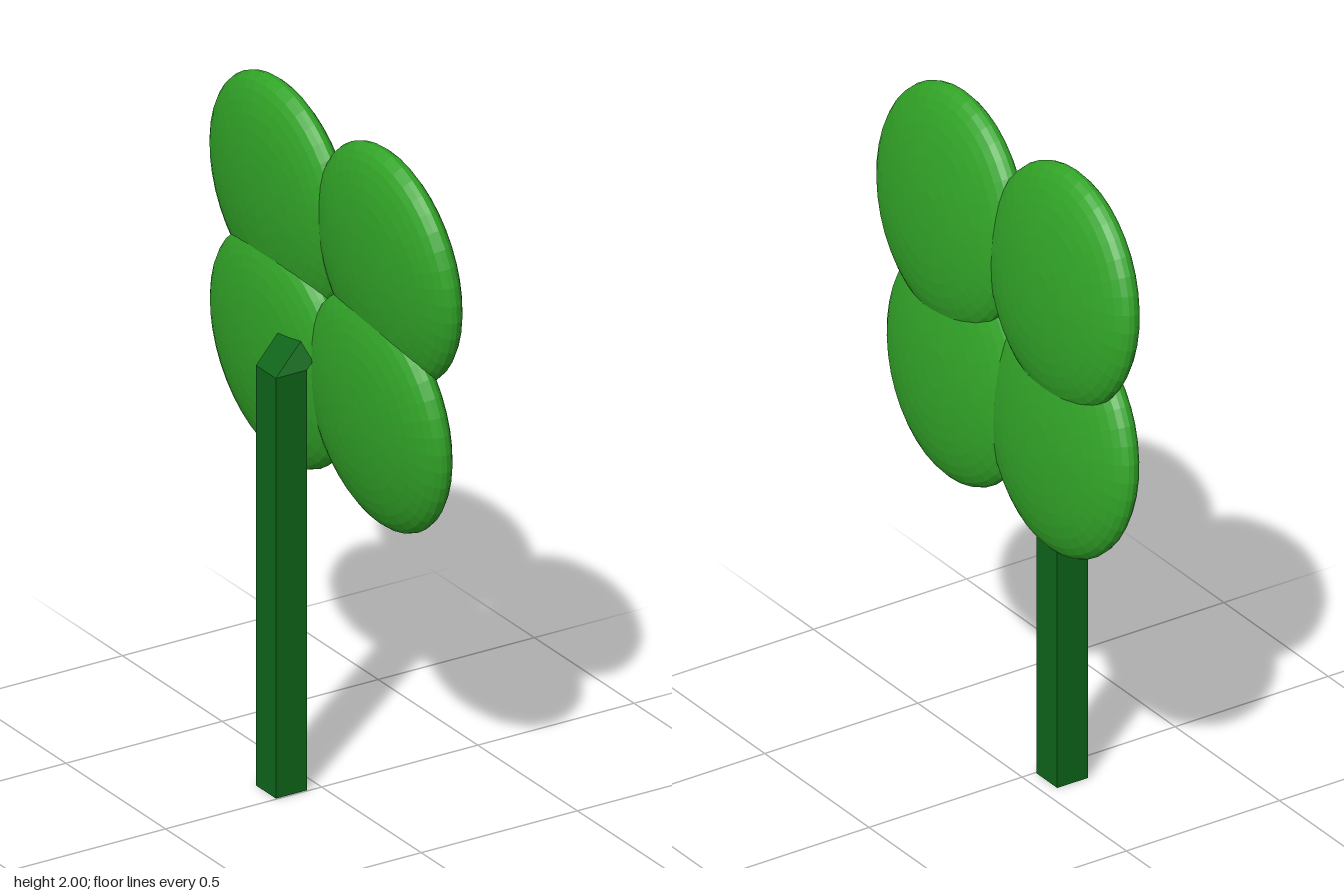
import * as THREE from 'three';

export function createModel() {
  const group = new THREE.Group();
  const leafMat = new THREE.MeshStandardMaterial({ color: 0x32a528, flatShading: true });
  const stemMat = new THREE.MeshStandardMaterial({ color: 0x0e6419, flatShading: true });

  // Leaves: flattened discs, poles along x, all leaning slightly
  const leafGeo = new THREE.SphereGeometry(1, 40, 20);
  leafGeo.rotateZ(-Math.PI / 2);
  leafGeo.scale(0.09, 0.347, 0.335);
  const leaves = [
    ['upperFrontLeaf', 1.655, 0.27],
    ['upperBackLeaf', 1.655, -0.27],
    ['lowerFrontLeaf', 1.192, 0.22],
    ['lowerBackLeaf', 1.192, -0.268],
  ];
  for (const [name, y, z] of leaves) {
    const leaf = new THREE.Mesh(leafGeo, leafMat);
    leaf.name = name;
    leaf.position.set(0.046, y, z);
    leaf.rotation.z = THREE.MathUtils.degToRad(4.5);
    group.add(leaf);
  }

  // Stem: square post
  const width = 0.1, height = 1.25;
  const stem = new THREE.Mesh(new THREE.BoxGeometry(width, height, width), stemMat);
  stem.name = 'stem';
  stem.position.set(-0.094, height / 2, -0.054);
  group.add(stem);

  // Branch: box on the stem top, sheared towards the leaves
  const reach = 0.12, rise = reach / 2;
  const branchGeo = new THREE.BoxGeometry(width, rise, width);
  branchGeo.translate(0, rise / 2, 0);
  const pos = branchGeo.attributes.position;
  for (let i = 0; i < pos.count; i++) {
    const t = pos.getY(i) / rise;
    pos.setX(i, pos.getX(i) + reach * t);
    pos.setZ(i, pos.getZ(i) - rise * t);
  }
  branchGeo.computeVertexNormals();
  const branch = new THREE.Mesh(branchGeo, stemMat);
  branch.name = 'branch';
  branch.position.set(-0.094, height, -0.054);
  group.add(branch);

  return group;
}
